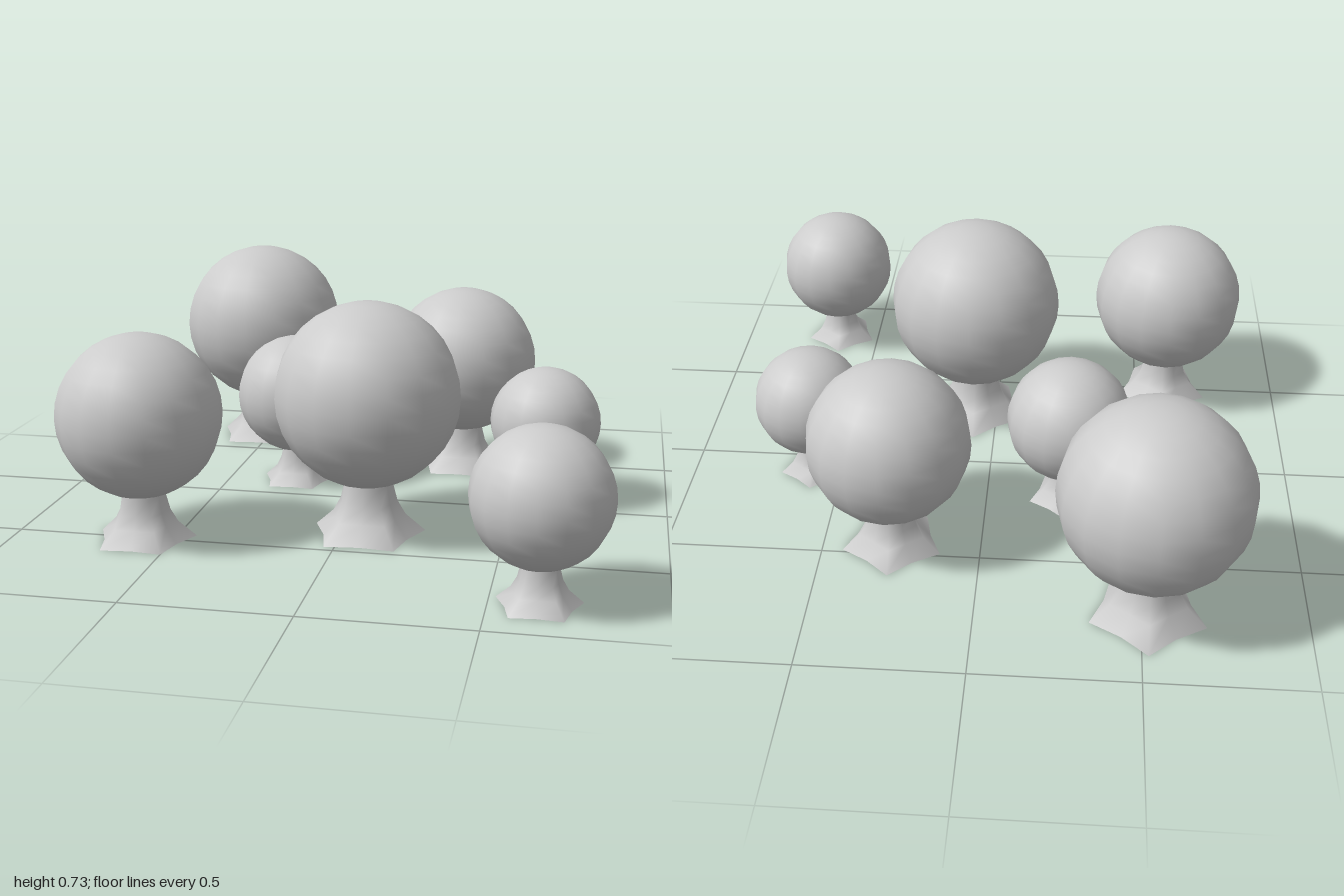
import * as THREE from 'three';

const material = new THREE.MeshStandardMaterial({ color: 0xcccccc });
const openMaterial = new THREE.MeshStandardMaterial({ color: 0xcccccc, side: THREE.DoubleSide });

// Trunk rings: [height, tip radius, dent ratio], for a crown of radius 1
const RINGS = [
  [0, 0.64, 0.75],
  [0.2, 0.42, 0.8],
  [0.36, 0.33, 0.84],
  [0.56, 0.28, 0.88],
  [0.8, 0.26, 0.92],
];

// Flared trunk with five root ridges, open at the bottom
function trunkGeometry() {
  const sides = 10;
  const positions = [];
  const index = [];
  RINGS.forEach(([y, radius, dent], j) => {
    for (let i = 0; i < sides; i++) {
      const a = Math.PI + (i / sides) * Math.PI * 2;
      const r = i % 2 ? radius * dent : radius;
      positions.push(Math.sin(a) * r, y, Math.cos(a) * r);
      if (j === 0) continue;
      const n = (i + 1) % sides;
      const low = (j - 1) * sides;
      const high = j * sides;
      index.push(low + i, low + n, high + n, low + i, high + n, high + i);
    }
  });
  const geometry = new THREE.BufferGeometry();
  geometry.setAttribute('position', new THREE.Float32BufferAttribute(positions, 3));
  geometry.setIndex(index);
  geometry.computeVertexNormals();
  return geometry;
}

// Each tree: x, z, crown radius
const TREES = [
  [-0.52, -0.71, 0.287],
  [0.28, -0.44, 0.253],
  [-0.265, -0.165, 0.2],
  [0.595, -0.07, 0.18],
  [0.075, 0.325, 0.287],
  [-0.595, 0.5, 0.253],
  [0.64, 0.8, 0.2],
];

export function createModel() {
  const grove = new THREE.Group();
  grove.name = 'treeGrove';
  const trunkShape = trunkGeometry();
  const crownShape = new THREE.SphereGeometry(1, 16, 16);

  for (const [x, z, radius] of TREES) {
    const tree = new THREE.Group();
    tree.name = 'tree';

    const trunk = new THREE.Mesh(trunkShape, openMaterial);
    trunk.name = 'trunk';

    // Round crown resting on the trunk
    const crown = new THREE.Mesh(crownShape, material);
    crown.name = 'crown';
    crown.position.y = 1.555;

    tree.add(trunk, crown);
    tree.position.set(x, 0, z);
    tree.scale.setScalar(radius);
    grove.add(tree);
  }
  return grove;
}
